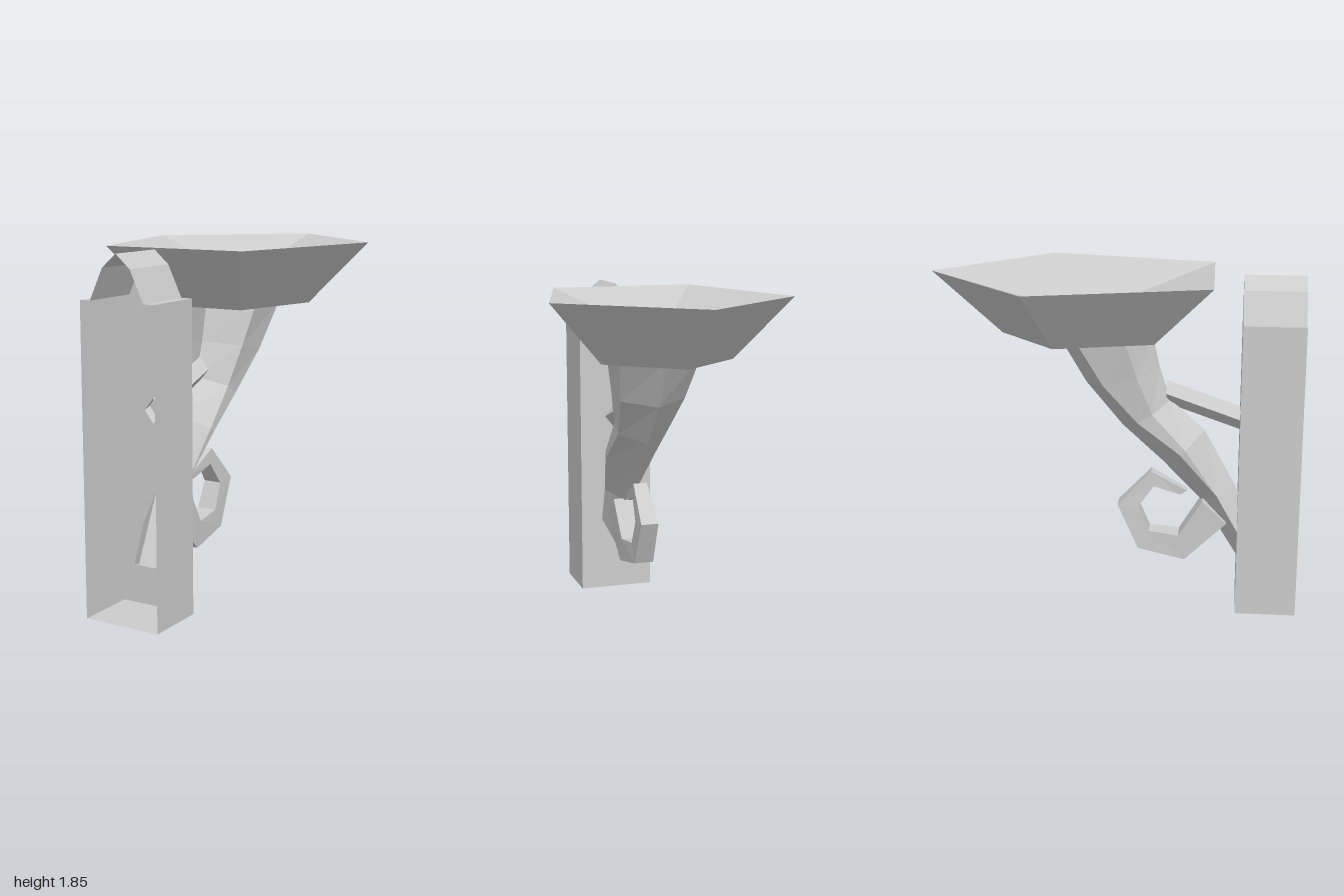
import * as THREE from 'three';

const stone = new THREE.MeshStandardMaterial({ color: 0xcccccc, side: THREE.DoubleSide });
stone.name = 'light grey';

const V = (x, y, z) => new THREE.Vector3(x, y, z);

// Faceted skin through closed rings; optional start / end points close it with a fan.
function loft(name, rings, startTip, endTip) {
  const p = [];
  const tri = (...vs) => vs.forEach(v => p.push(v.x, v.y, v.z));
  const n = rings[0].length;
  const last = rings.length - 1;
  for (let j = 0; j < n; j++) {
    const k = (j + 1) % n;
    for (let i = 0; i < last; i++) {
      const [a, b, c, d] = [rings[i][j], rings[i][k], rings[i + 1][k], rings[i + 1][j]];
      tri(a, b, c);
      tri(a, c, d);
    }
    if (startTip) tri(startTip, rings[0][k], rings[0][j]);
    if (endTip) tri(endTip, rings[last][j], rings[last][k]);
  }
  const g = new THREE.BufferGeometry();
  g.setAttribute('position', new THREE.Float32BufferAttribute(p, 3));
  g.computeVertexNormals();
  const mesh = new THREE.Mesh(g, stone);
  mesh.name = name;
  return mesh;
}

const middle = ring => ring.reduce((s, v) => s.add(v), V(0, 0, 0)).divideScalar(ring.length);

export function createModel() {
  const model = new THREE.Group();
  model.name = 'wallBracket';

  // Hollow back plate with a gabled top, open at the front
  const outline = [[-0.21, 0], [0.22, 0], [0.22, 1.62], [0.16, 1.62], [0.085, 1.78],
    [0.005, 1.85], [-0.075, 1.78], [-0.15, 1.62], [-0.21, 1.62]];
  model.add(loft('plateWalls', [0.67, 1].map(z => outline.map(([x, y]) => V(x, y, z)))));
  const panel = new THREE.Mesh(
    new THREE.ShapeGeometry(new THREE.Shape(outline.map(([x, y]) => new THREE.Vector2(x, y)))), stone);
  panel.position.z = 0.67;
  panel.name = 'platePanel';
  model.add(panel);

  // Five-sided bowl with a sunken top
  const rim = [[-0.4, 0.52], [0.41, 0.51], [0.655, -0.425], [0, -1], [-0.66, -0.415]];
  const bowlRing = (y, s) => rim.map(([x, z]) => V(x * s, y, -0.165 + (z + 0.165) * s));
  const base = bowlRing(1.515, 0.55);
  model.add(loft('bowl', [base, bowlRing(1.845, 1)], middle(base), V(0, 1.625, -0.165)));

  // Curved arm: front [z, y], back [z, y], and how far the side ridge splits in two
  const stations = [
    [0.84, 0.28, 0.70, 0.215, 0],
    [0.64, 0.70, 0.47, 0.585, 0],
    [0.48, 0.99, 0.25, 0.81, 0.25],
    [0.29, 1.16, 0.03, 1.01, 0.6],
    [0.23, 1.34, -0.17, 1.25, 0.9],
    [0.19, 1.52, -0.33, 1.52, 1],
  ];
  model.add(loft('arm', stations.map(([fz, fy, bz, by, split]) => {
    const c = V(0.005, (fy + by) / 2, (fz + bz) / 2);
    const u = V(0, (fy - by) / 2, (fz - bz) / 2);
    const r = u.length();
    const a = Math.PI / 2;
    const s = split * Math.PI / 6;
    return [0, a - s, a + s, 2 * a, 3 * a - s, 3 * a + s].map(t =>
      c.clone().addScaledVector(u, Math.cos(t)).add(V(r * Math.sin(t), 0, 0)));
  })));

  // Slim diamond strut between plate and arm
  const strutRing = (y, z) => [V(0.069, y, z), V(0.017, y + 0.065, z), V(-0.035, y, z), V(0.017, y - 0.065, z)];
  const strutEnd = strutRing(1.2, 0.27);
  model.add(loft('strut', [strutEnd, strutRing(1.047, 0.715)], middle(strutEnd)));

  // Tapering curl below the arm: outer [z, y], inner [z, y], half width
  const curl = [
    [0.61, 0.475, 0.475, 0.6, 0.075],
    [0.38, 0.25, 0.345, 0.39, 0.065],
    [0.12, 0.305, 0.18, 0.41, 0.055],
    [0.005, 0.56, 0.12, 0.55, 0.05],
    [0.19, 0.755, 0.205, 0.67, 0.04],
    [0.39, 0.645, 0.35, 0.62, 0.025],
  ].map(([oz, oy, iz, iy, w]) => [V(w, oy, oz), V(-w, oy, oz), V(-w, iy, iz), V(w, iy, iz)]);
  model.add(loft('curl', curl, middle(curl[0]), middle(curl[5])));

  return model;
}
